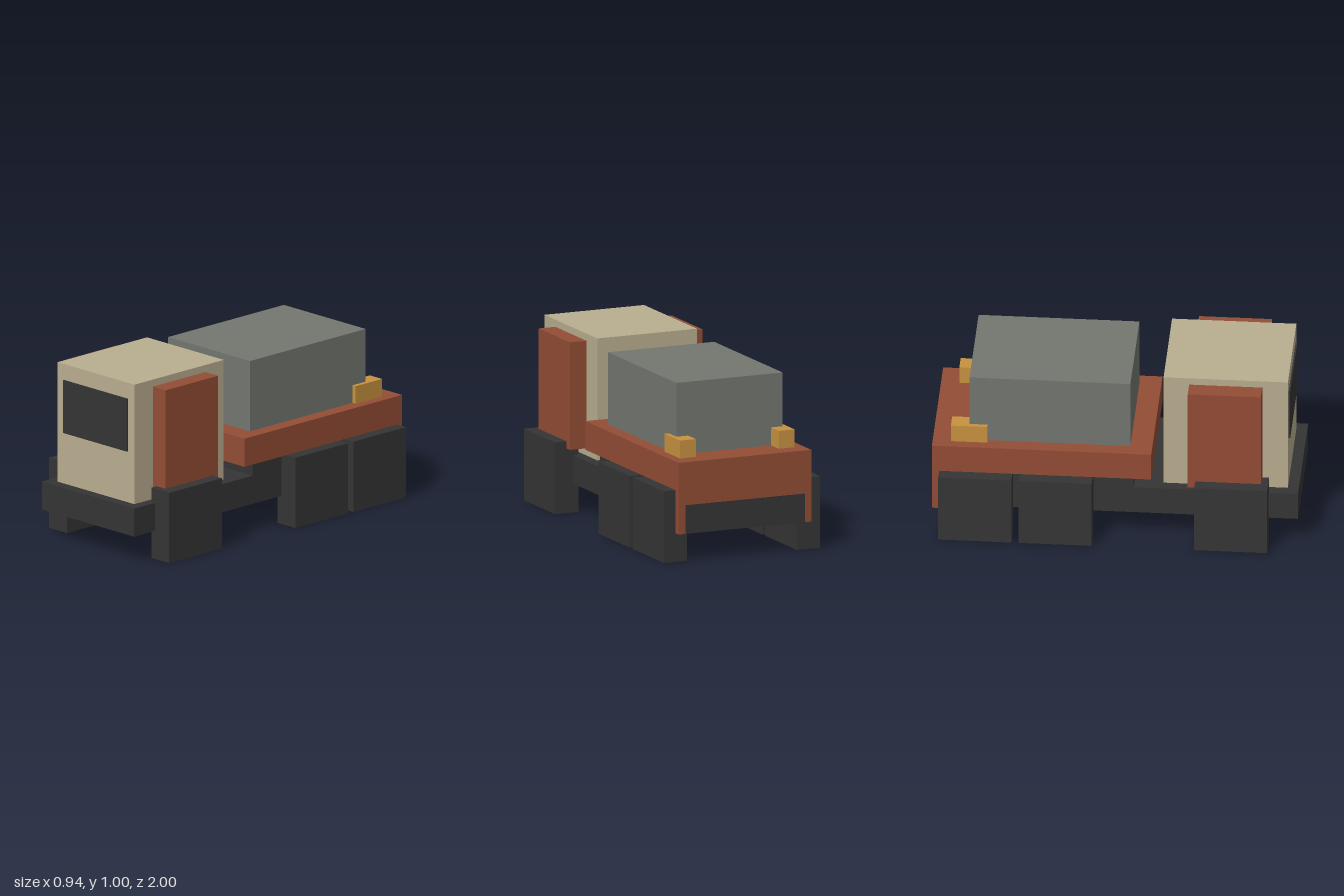
import * as THREE from 'three';

export function createModel() {
  const truck = new THREE.Group();
  truck.name = 'truck';

  const material = (name, color) => {
    const m = new THREE.MeshStandardMaterial({ color });
    m.name = name;
    return m;
  };
  const dark = material('charcoal', 0x353535);
  const tan = material('tan', 0xb9ae90);
  const rust = material('rust red', 0x934d35);
  const grey = material('grey', 0x737770);
  const amber = material('amber', 0xc8923f);

  // Box given by its minimum and maximum on each axis
  const box = (name, mat, [x0, x1], [y0, y1], [z0, z1]) => {
    const mesh = new THREE.Mesh(new THREE.BoxGeometry(x1 - x0, y1 - y0, z1 - z0), mat);
    mesh.position.set((x0 + x1) / 2, (y0 + y1) / 2, (z0 + z1) / 2);
    mesh.name = name;
    truck.add(mesh);
  };
  // The same box on both sides
  const pair = (name, mat, [x0, x1], y, z) => {
    box(name + 'Left', mat, [x0, x1], y, z);
    box(name + 'Right', mat, [-x1, -x0], y, z);
  };

  // Frame
  box('chassis', dark, [-0.36, 0.36], [0.16, 0.32], [-1, 1]);
  box('subframe', dark, [-0.36, 0.36], [0.32, 0.4], [-0.9, 0.1]);

  // Cab
  box('cab', tan, [-0.3, 0.3], [0.32, 1], [0.26, 0.94]);
  box('windscreen', dark, [-0.25, 0.25], [0.61, 0.91], [0.94, 0.949]);
  pair('sidePanel', rust, [0.3, 0.4], [0.36, 0.96], [0.4, 0.8]);

  // Load bed, with a tail skirt around the chassis end
  box('bed', rust, [-0.4, 0.4], [0.4, 0.56], [-1, 0.2]);
  box('tailSkirt', rust, [-0.4, 0.4], [0.161, 0.4], [-0.999, -0.84]);
  pair('tailSkirtEdge', rust, [0.36, 0.4], [0.16, 0.4], [-1, -0.84]);
  box('tailSkirtTop', rust, [-0.36, 0.36], [0.32, 0.4], [-1, -0.9]);
  box('cargo', grey, [-0.32, 0.32], [0.56, 0.96], [-0.8, 0.08]);
  pair('rearLamp', amber, [0.25, 0.345], [0.56, 0.66], [-0.9, -0.7]);

  // Three axles of block wheels
  for (const [axle, z] of [['front', 0.64], ['middle', -0.32], ['rear', -0.76]]) {
    pair(axle + 'Wheel', dark, [0.33, 0.47], [0, 0.4], [z - 0.2, z + 0.2]);
  }

  return truck;
}
